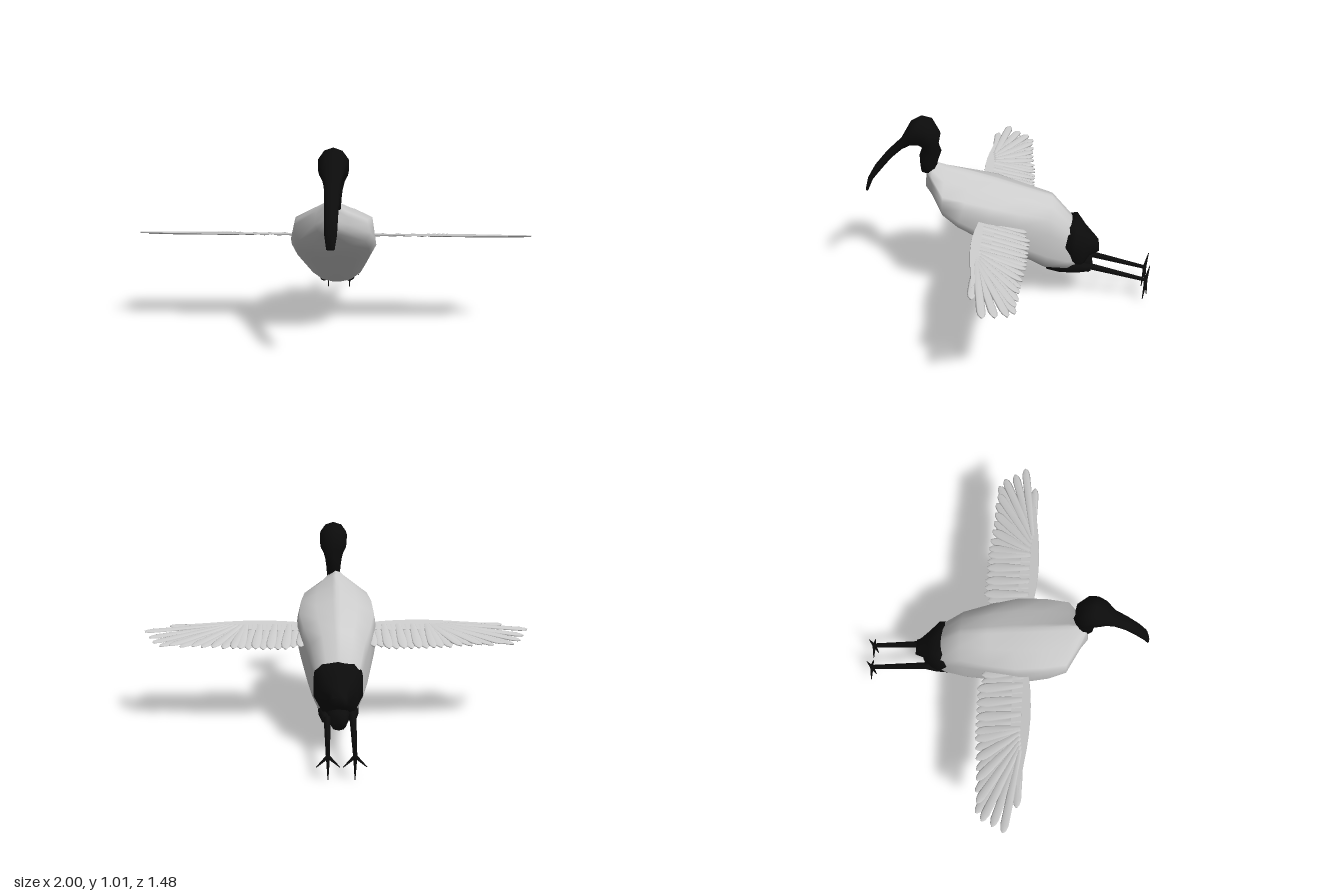
import * as THREE from 'three';

const white = new THREE.MeshStandardMaterial({ color: 0xcccccc, side: THREE.DoubleSide });
const black = new THREE.MeshStandardMaterial({ color: 0x0c0c0c, side: THREE.DoubleSide });

function add(parent, name, geometry, material) {
  const mesh = new THREE.Mesh(geometry, material);
  mesh.name = name;
  parent.add(mesh);
  return mesh;
}

// Ring outlines: [sideways -1..1, up -1..1], clockwise from the top
const ellipse = (sides, power = 1) => Array.from({ length: sides }, (_, j) => {
  const a = j / sides * Math.PI * 2;
  return [Math.sin(a), Math.cos(a)].map(v => Math.sign(v) * Math.abs(v) ** power);
});
const half = [[0.1, 0.99], [0.5, 0.9], [0.9, 0.69], [0.94, 0.25], [1, -0.4], [0.86, -0.75], [0.5, -0.94], [0.13, -1]];
const bodyRing = [[0, 1], ...half, [0, -1], ...half.map(([x, y]) => [-x, y]).reverse()];

// Skin over sections [zTop, yTop, zBottom, yBottom, halfWidth, shoulderDrop]
function loft(sections, ring, x = 0) {
  const pos = [], index = [], sides = ring.length, n = sections.length;
  for (const [zt, yt, zb, yb, w, drop = 0] of sections) {
    for (const [u, v] of ring) {
      const sag = drop * Math.abs(u) * Math.max(0, v + 0.3);
      pos.push(x + w * u, (yt + yb) / 2 + v / 2 * (yt - yb) - sag, (zt + zb) / 2 + v / 2 * (zt - zb));
    }
  }
  for (let i = 0; i < n - 1; i++) {
    for (let j = 0; j < sides; j++) {
      const a = i * sides + j, b = i * sides + (j + 1) % sides;
      index.push(a, b, a + sides, b, b + sides, a + sides);
    }
  }
  // End caps
  for (let j = 1; j < sides - 1; j++) {
    const e = (n - 1) * sides;
    index.push(0, j + 1, j, e, e + j, e + j + 1);
  }
  const g = new THREE.BufferGeometry();
  g.setAttribute('position', new THREE.Float32BufferAttribute(pos, 3));
  g.setIndex(index);
  g.computeVertexNormals();
  return g;
}

// Tapered rod between two points
function rod(a, b, r0, r1, sides = 6) {
  const from = new THREE.Vector3(...a), to = new THREE.Vector3(...b);
  const dir = to.clone().sub(from);
  const g = new THREE.CylinderGeometry(r1, r0, dir.length(), sides);
  g.applyQuaternion(new THREE.Quaternion().setFromUnitVectors(new THREE.Vector3(0, 1, 0), dir.normalize()));
  const mid = from.add(to).multiplyScalar(0.5);
  return g.translate(mid.x, mid.y, mid.z);
}

// Flat domed blade from root to tip in plan (x, z), with a rounded end
function feather([x0, z0], [x1, z1], width, y) {
  const dx = x1 - x0, dz = z1 - z0, len = Math.hypot(dx, dz);
  const profile = [[0, 0.6], [0.5, 0.95], [1 - 0.9 * width / len, 1], [1 - 0.3 * width / len, 0.7], [1, 0.2]];
  return loft(profile.map(([t, k]) => [-t * len, 0.007 - 0.003 * t, -t * len, -0.007 + 0.003 * t, k * width / 2]), ellipse(8))
    .rotateY(Math.atan2(-dx, -dz)).translate(x0, y, z0);
}

function makeWing(s) {
  const wing = new THREE.Group();
  wing.name = s > 0 ? 'leftWing' : 'rightWing';
  wing.position.y = 0.487;
  wing.rotation.x = -0.25;

  // Covert panel along the leading edge
  const arm = new THREE.Shape();
  arm.moveTo(s * 0.13, 0.135);
  arm.lineTo(s * 0.22, 0.15);
  arm.quadraticCurveTo(s * 0.42, 0.185, s * 0.66, 0.145);
  arm.lineTo(s * 0.8, 0.128);
  arm.lineTo(s * 0.66, 0.09);
  arm.lineTo(s * 0.5, 0.07);
  arm.lineTo(s * 0.13, 0.06);
  const panel = new THREE.ExtrudeGeometry(arm, { depth: 0.009, bevelEnabled: false, curveSegments: 6 });
  add(wing, 'coverts', panel.rotateX(Math.PI / 2).translate(0, 0.0045, 0), white);

  // Flight feathers fanning out to the tip
  const tips = [[0.875, 0.122], [1, 0.062], [0.97, 0.005], [0.945, -0.05], [0.905, -0.082], [0.855, -0.08],
    [0.8, -0.09], [0.74, -0.09], [0.69, -0.095], [0.635, -0.1], [0.58, -0.108], [0.53, -0.113]];
  tips.forEach(([x, z], i) => {
    const t = i / (tips.length - 1);
    add(wing, 'primaryFeather', feather([s * (0.6 - 0.12 * t), 0.125 - 0.01 * t], [s * x, z],
      0.042 + 0.014 * t, (i % 2 - 0.5) * 0.003), white);
  });
  // Inner feathers along the trailing edge
  for (let i = 0; i < 10; i++) {
    const x = 0.15 + i * 0.038, z = i < 3 ? -0.1 : -0.124 + 0.001 * i;
    add(wing, 'secondaryFeather', feather([s * (x - 0.015), 0.12], [s * x, z], 0.056, (i % 2 - 0.5) * 0.003), white);
  }
  return wing;
}

function makeLeg(s) {
  const leg = new THREE.Group();
  leg.name = s > 0 ? 'leftLeg' : 'rightLeg';
  const x = s * 0.063 - 0.007, hub = [x, 0.122, -0.722];
  add(leg, 'thigh', loft([[-0.19, 0.235, -0.2, 0.18, 0.022], [-0.27, 0.235, -0.27, 0.165, 0.034],
    [-0.36, 0.225, -0.36, 0.165, 0.03], [-0.43, 0.215, -0.43, 0.175, 0.018]], ellipse(8), s * 0.068), black);
  add(leg, 'shank', rod([x, 0.197, -0.42], hub, 0.019, 0.011), black);
  // Two side toes, one long lower toe and one upper toe
  for (const [dx, y, z] of [[-0.055, 0.07, -0.725], [0.055, 0.07, -0.725], [0, 0, -0.71], [0, 0.21, -0.738]]) {
    add(leg, 'toe', rod(hub, [x + dx, y, z], 0.01, 0.002, 5), black);
  }
  return leg;
}

export function createModel() {
  const model = new THREE.Group();
  model.name = 'wadingBird';

  add(model, 'body', loft([
    [0.415, 0.755, 0.43, 0.62, 0.03], [0.39, 0.76, 0.39, 0.575, 0.08, 0.04], [0.325, 0.742, 0.33, 0.505, 0.188, 0.072],
    [0.2, 0.71, 0.26, 0.445, 0.208, 0.05], [0.06, 0.67, 0.14, 0.375, 0.215, 0.03], [-0.08, 0.625, 0, 0.295, 0.19, 0.02],
    [-0.22, 0.583, -0.19, 0.18, 0.15, 0.01], [-0.33, 0.45, -0.3, 0.17, 0.115], [-0.4, 0.32, -0.39, 0.18, 0.06],
  ], bodyRing), white);

  // Neck, head and bill in one skin, from bill tip to neck base
  add(model, 'headAndBill', loft([
    [0.742, 0.6, 0.73, 0.588, 0.02], [0.727, 0.66, 0.703, 0.65, 0.03], [0.685, 0.735, 0.653, 0.713, 0.033],
    [0.62, 0.815, 0.595, 0.782, 0.036], [0.545, 0.887, 0.54, 0.832, 0.042], [0.49, 0.985, 0.5, 0.85, 0.06],
    [0.44, 1.01, 0.475, 0.855, 0.073], [0.385, 0.995, 0.455, 0.855, 0.077], [0.345, 0.92, 0.445, 0.85, 0.072],
    [0.356, 0.865, 0.442, 0.835, 0.056], [0.343, 0.825, 0.455, 0.8, 0.046], [0.362, 0.77, 0.455, 0.76, 0.04],
    [0.375, 0.715, 0.45, 0.71, 0.036],
  ], ellipse(10), 0.011), black);

  const tail = new THREE.Group();
  tail.name = 'tail';
  model.add(tail);
  add(tail, 'rumpPlumes', loft([
    [-0.315, 0.45, -0.285, 0.29, 0.122], [-0.355, 0.462, -0.33, 0.2, 0.126], [-0.4, 0.4, -0.375, 0.17, 0.095],
    [-0.45, 0.345, -0.42, 0.24, 0.05], [-0.465, 0.32, -0.472, 0.27, 0.04],
  ], ellipse(10, 0.8)), black);
  add(tail, 'lowerTuft', loft([
    [-0.24, 0.22, -0.24, 0.168, 0.07], [-0.38, 0.28, -0.36, 0.16, 0.075],
    [-0.435, 0.23, -0.4, 0.14, 0.05], [-0.44, 0.18, -0.415, 0.13, 0.035],
  ], ellipse(8)), black);

  for (const s of [-1, 1]) model.add(makeWing(s), makeLeg(s));
  return model;
}
